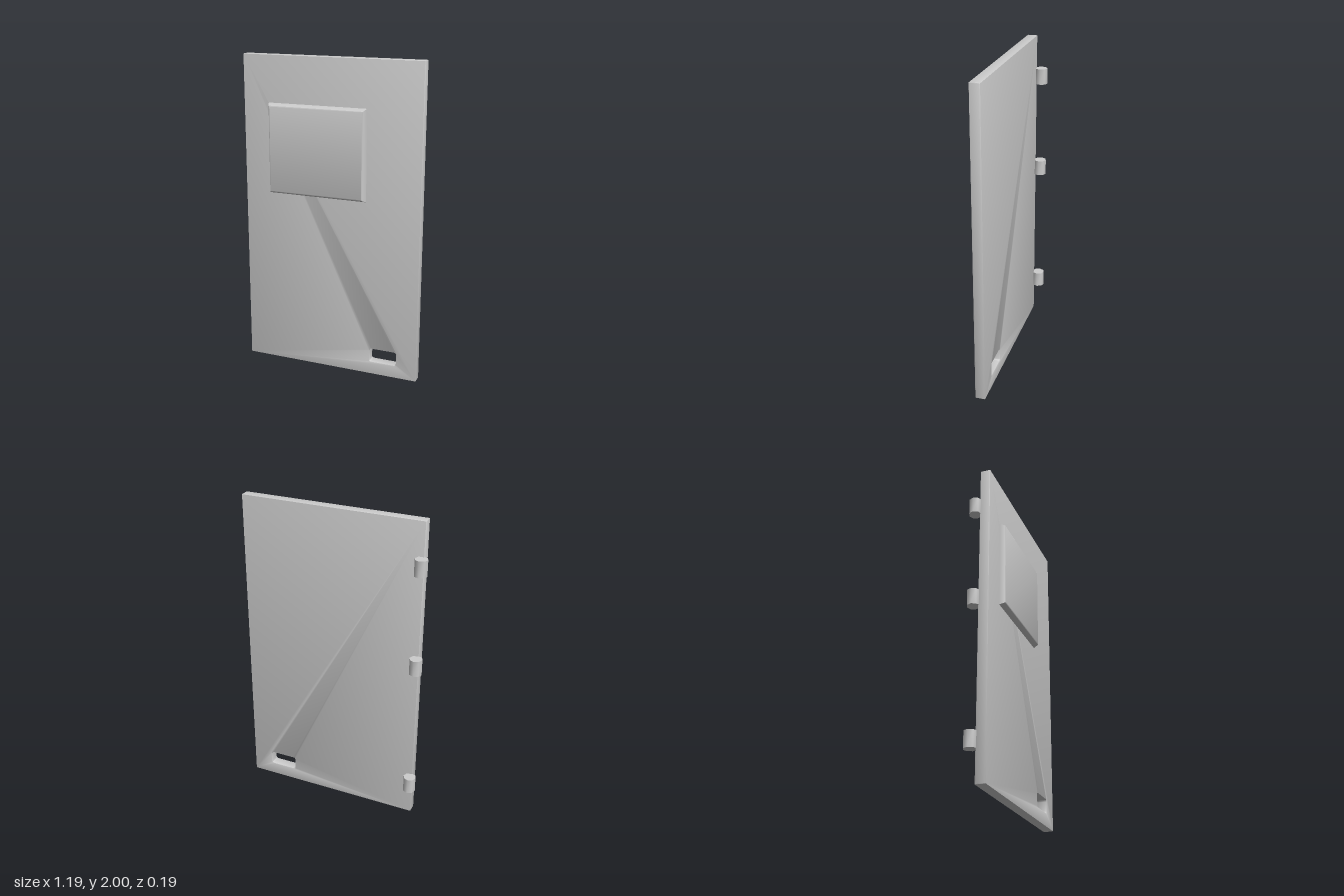
import * as THREE from 'three';
import { toCreasedNormals } from 'three/addons/utils/BufferGeometryUtils.js';

const material = new THREE.MeshStandardMaterial({ color: 0xcccccc });

// Rounded rectangle outline, used for the door and its slot
function roundRect(path, x0, y0, x1, y1, r) {
  path.moveTo(x0 + r, y0);
  path.lineTo(x1 - r, y0);
  path.quadraticCurveTo(x1, y0, x1, y0 + r);
  path.lineTo(x1, y1 - r);
  path.quadraticCurveTo(x1, y1, x1 - r, y1);
  path.lineTo(x0 + r, y1);
  path.quadraticCurveTo(x0, y1, x0, y1 - r);
  path.lineTo(x0, y0 + r);
  path.quadraticCurveTo(x0, y0, x0 + r, y0);
  return path;
}

// Rectangular rings of [inset, z], joined in order and capped at the front
function steppedPlate(w, h, rings) {
  const positions = [];
  const index = [];
  rings.forEach(([inset, z], i) => {
    const x = w / 2 - inset;
    const y = h / 2 - inset;
    positions.push(-x, -y, z, x, -y, z, x, y, z, -x, y, z);
    if (i === 0) return;
    for (let k = 0; k < 4; k++) {
      const a = (i - 1) * 4 + k;
      const b = (i - 1) * 4 + (k + 1) % 4;
      index.push(a, b, b + 4, a, b + 4, a + 4);
    }
  });
  const n = (rings.length - 1) * 4;
  index.push(n, n + 1, n + 2, n, n + 2, n + 3);
  const geometry = new THREE.BufferGeometry();
  geometry.setAttribute('position', new THREE.Float32BufferAttribute(positions, 3));
  geometry.setIndex(index);
  return toCreasedNormals(geometry, 0.6);
}

export function createModel() {
  const model = new THREE.Group();
  model.name = 'door';

  const add = (name, geometry, x, y, z) => {
    const mesh = new THREE.Mesh(geometry, material);
    mesh.name = name;
    mesh.position.set(x, y, z);
    model.add(mesh);
    return mesh;
  };

  // Door leaf with a softened edge and a slot through the lower corner
  const thickness = 0.066;
  const bevel = 0.006;
  const outline = roundRect(new THREE.Shape(), -0.58, 0, 0.58, 2, 0.004);
  outline.holes.push(roundRect(new THREE.Path(), 0.268, 0.085, 0.447, 0.173, 0.014));
  const leaf = new THREE.ExtrudeGeometry(outline, {
    depth: thickness - 2 * bevel,
    bevelThickness: bevel,
    bevelSize: bevel,
    bevelOffset: -bevel,
    bevelSegments: 2,
    curveSegments: 4,
  });
  add('doorLeaf', toCreasedNormals(leaf, 0.6), 0, 0, -thickness / 2 + bevel);

  // Raised panel with sloping sides
  const panel = steppedPlate(0.645, 0.57, [
    [0, -0.01], [0, 0], [0.011, 0.026], [0.014, 0.032], [0.02, 0.035],
  ]);
  add('raisedPanel', panel, -0.088, 1.423, thickness / 2);

  // Hinge barrels on the back edge
  const barrel = toCreasedNormals(new THREE.CylinderGeometry(0.04, 0.04, 0.1, 8), 0.9);
  for (const y of [0.25, 1.11, 1.74]) add('hingeBarrel', barrel, -0.574, y, -0.064);

  // The door stands very slightly ajar
  model.position.set(0.015, 0, 0.014);
  model.rotation.y = -0.019;

  const root = new THREE.Group();
  root.name = 'hingedDoor';
  root.add(model);
  return root;
}
